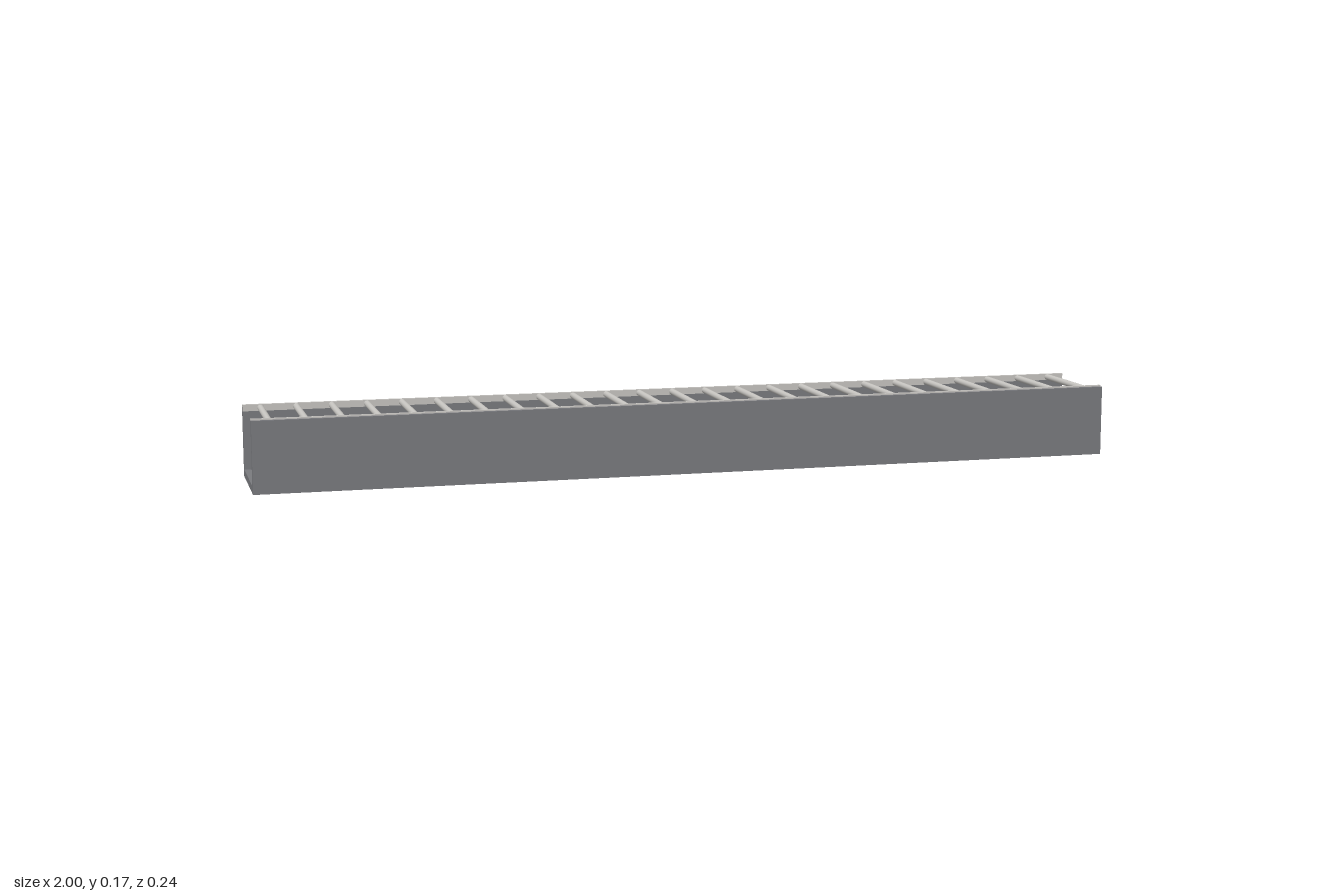
import * as THREE from 'three';

export function createModel() {
  const model = new THREE.Group();
  const concrete = new THREE.MeshStandardMaterial({ color: 0x7a7b7f });
  concrete.name = 'concrete grey';
  const steel = new THREE.MeshStandardMaterial({ color: 0xc8c6c2 });
  steel.name = 'light steel';

  const add = (name, geometry, material, x, y, z) => {
    const mesh = new THREE.Mesh(geometry, material);
    mesh.name = name;
    mesh.position.set(x, y, z);
    model.add(mesh);
    return mesh;
  };

  // U-shaped channel with a rebate along each inner top edge
  const half = [[0.1205, 0], [0.1205, 0.162], [0.1125, 0.162], [0.1125, 0.15], [0.1045, 0.15], [0.1045, 0.017]];
  const mirrored = half.map(([z, y]) => [-z, y]).reverse();
  const profile = new THREE.Shape([...half, ...mirrored].map(([z, y]) => new THREE.Vector2(z, y)));
  const channel = new THREE.ExtrudeGeometry(profile, { depth: 2, bevelEnabled: false });
  channel.translate(0, 0, -1).rotateY(Math.PI / 2);
  add('channel', channel, concrete, 0, 0, 0);

  // Grating side rails resting in the rebates
  const rail = new THREE.BoxGeometry(2, 0.015, 0.008);
  for (const side of [-1, 1]) add('gratingRail', rail, steel, 0, 0.1575, side * 0.1085);

  // Round cross bars
  const bar = new THREE.CylinderGeometry(0.0073, 0.0073, 0.212, 16).rotateX(Math.PI / 2);
  for (let i = 0; i < 25; i++) add('crossBar', bar, steel, -0.96 + i * 0.08, 0.1575, 0);

  return model;
}
